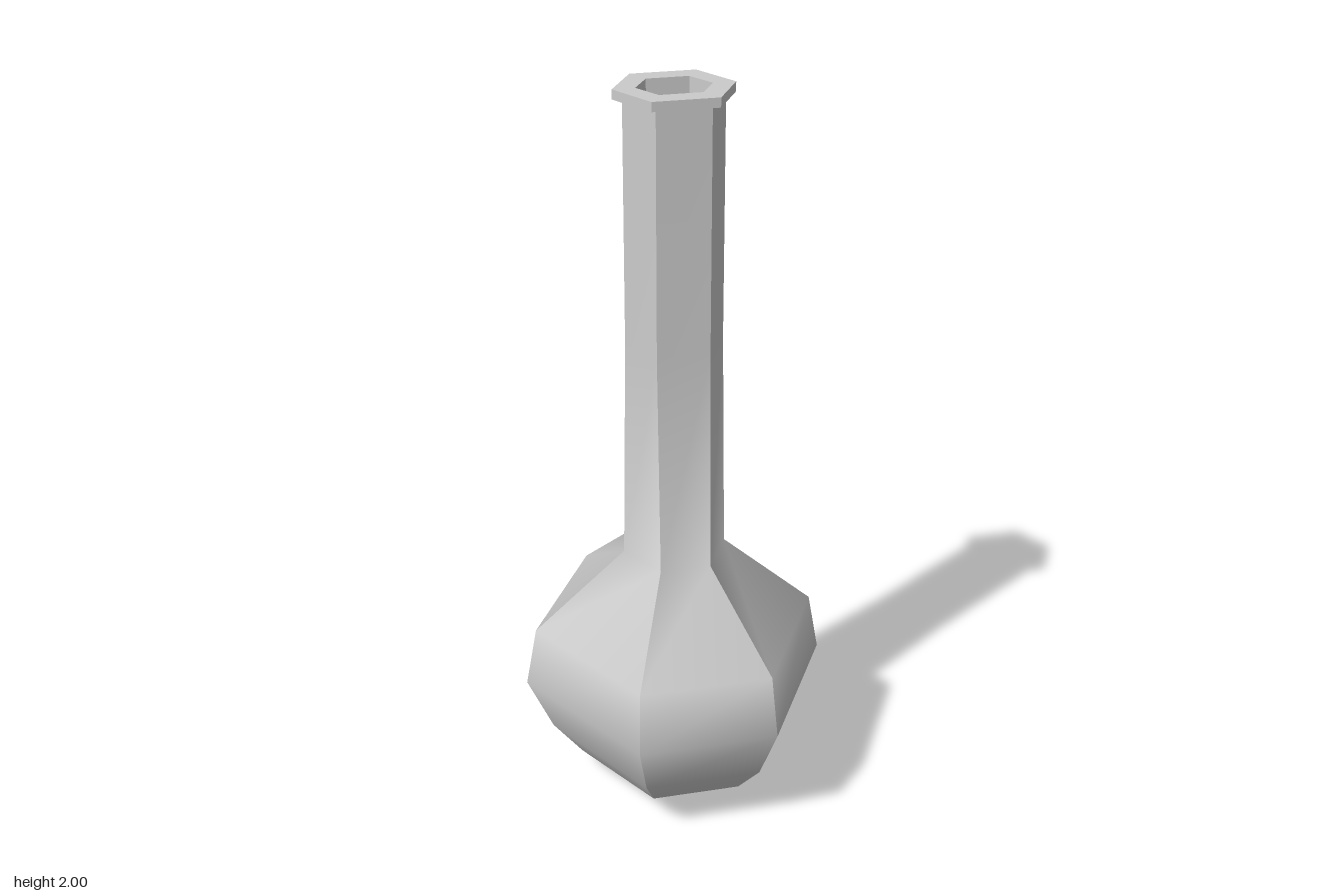
import * as THREE from 'three';
import { mergeGeometries, mergeVertices } from 'three/addons/utils/BufferGeometryUtils.js';

const material = new THREE.MeshStandardMaterial({ color: 0xcccccc });

// Six-sided ring: y, half width at the side corners, half width of the front edge, half depth
const corners = ([y, w, c, d]) =>
  [[w, 0], [c, d], [-c, d], [-w, 0], [-c, -d], [c, -d]].map(([x, z]) => [x, y, z]);

// One panel per side, smooth along the profile and sharp at the six corners.
// Rising profiles face outward, falling ones inward.
function panels(profile) {
  const rings = profile.map(corners);
  const sides = [];
  for (let s = 0; s < 6; s++) {
    const pos = [], index = [];
    rings.forEach((ring, i) => {
      pos.push(...ring[s], ...ring[(s + 1) % 6]);
      if (i === 0) return;
      const a = 2 * i - 2, b = a + 1, d = a + 2, c = a + 3;
      index.push(a, d, b, b, d, c);
    });
    const geo = new THREE.BufferGeometry();
    geo.setAttribute('position', new THREE.Float32BufferAttribute(pos, 3));
    geo.setIndex(index);
    geo.computeVertexNormals();
    sides.push(geo);
  }
  return mergeGeometries(sides);
}

// Same panels with shared corners, for a softly shaded cap
function smoothCap(profile) {
  const geo = panels(profile);
  geo.deleteAttribute('normal');
  const merged = mergeVertices(geo);
  merged.computeVertexNormals();
  return merged;
}

export function createModel() {
  const group = new THREE.Group();
  const add = (name, geometry) => {
    const mesh = new THREE.Mesh(geometry, material);
    mesh.name = name;
    group.add(mesh);
  };

  const foot = [0.08, 0.27, 0.12, 0.265];
  const neckTop = [1.975, 0.13, 0.07, 0.105];
  const lipLow = [1.975, 0.155, 0.085, 0.126];
  const lipHigh = [2, 0.155, 0.085, 0.126];
  const mouth = [2, 0.097, 0.055, 0.073];

  // Shallow pointed base
  add('base', smoothCap([[0, 0, 0, 0], foot]));

  // Bulb flowing into the tapered neck
  add('bulbAndNeck', panels([
    foot,
    [0.18, 0.35, 0.157, 0.345],
    [0.335, 0.42, 0.187, 0.405],
    [0.5, 0.39, 0.178, 0.372],
    [0.72, 0.14, 0.068, 0.132],
    [1.33, 0.13, 0.07, 0.105],
    neckTop,
  ]));

  // Lip: underside, rim and top face
  add('lip', mergeGeometries([
    panels([neckTop, lipLow]),
    panels([lipLow, lipHigh]),
    panels([lipHigh, mouth]),
  ]));

  // Hollow inside of the neck and bulb
  const innerFoot = [0.11, 0.24, 0.107, 0.235];
  add('innerWall', panels([
    mouth,
    [1.33, 0.097, 0.055, 0.073],
    [0.74, 0.105, 0.055, 0.098],
    [0.48, 0.355, 0.16, 0.338],
    [0.335, 0.385, 0.17, 0.37],
    [0.2, 0.32, 0.14, 0.315],
    innerFoot,
  ]));
  add('innerFloor', smoothCap([innerFoot, [0.035, 0, 0, 0]]));

  return group;
}
